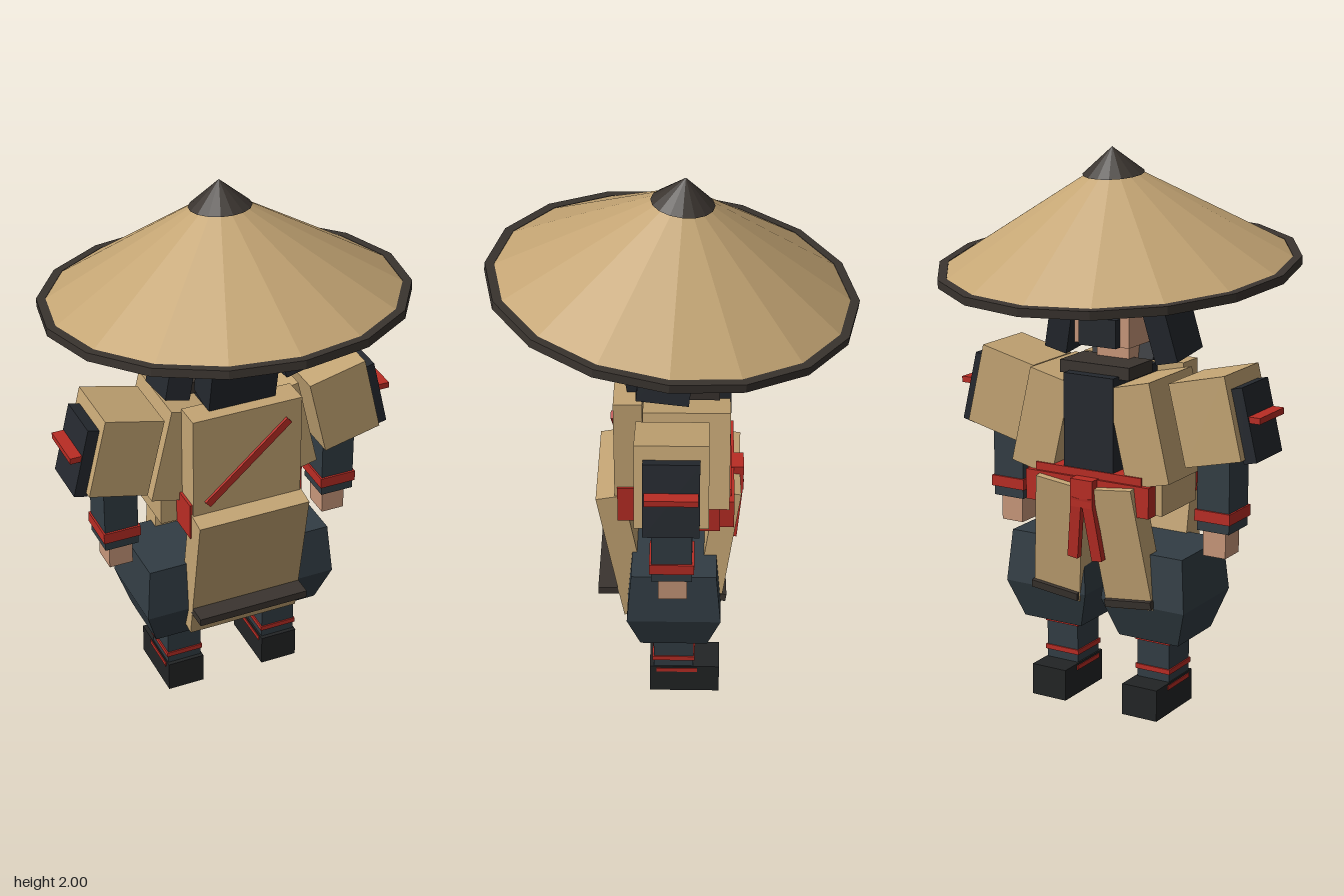
import * as THREE from 'three';

const mat = (color) => new THREE.MeshStandardMaterial({ color, flatShading: true, side: THREE.DoubleSide });
const TAN = mat(0xc4a574), DARK = mat(0x24282e), NAVY = mat(0x323d44), RED = mat(0xb92c24),
  SKIN = mat(0xc8977a), BROWN = mat(0x3a342f), BLACK = mat(0x222425);

export function createModel() {
  const model = new THREE.Group();
  model.name = 'strawHatWanderer';

  const add = (name, geo, material, pos = [0, 0, 0], rot = [0, 0, 0], parent = model) => {
    const mesh = new THREE.Mesh(geo, material);
    mesh.name = name;
    mesh.position.set(...pos);
    mesh.rotation.set(...rot);
    parent.add(mesh);
    return mesh;
  };
  const box = (name, material, size, pos, rot, parent) =>
    add(name, new THREE.BoxGeometry(...size), material, pos, rot, parent);
  const lathe = (points, sides, start = 0) =>
    new THREE.LatheGeometry(points.map(([r, y]) => new THREE.Vector2(r, y)), sides, start);

  // Tilted straw hat with dark rim and cap
  const hat = new THREE.Group();
  hat.name = 'hat';
  hat.position.y = 1.592;
  hat.rotation.x = -0.107;
  model.add(hat);
  add('hatCone', lathe([[0.61, 0.01], [0, 0.375]], 16), TAN, [0, 0, 0], [0, 0, 0], hat);
  add('hatRim', lathe([[0.605, -0.015], [0.637, -0.015], [0.637, 0.015], [0.605, 0.015], [0.605, -0.015]], 16),
    BROWN, [0, 0, 0], [0, 0, 0], hat);
  add('hatCap', new THREE.ConeGeometry(0.108, 0.092, 16), BROWN, [0, 0.364, 0], [0, 0, 0], hat);

  // Head, mask and hair
  box('head', SKIN, [0.22, 0.29, 0.2], [0, 1.465, -0.015]);
  box('neck', SKIN, [0.13, 0.16, 0.12], [0, 1.27, 0.02]);
  box('mask', DARK, [0.15, 0.1, 0.07], [0, 1.37, -0.11]);
  box('longHair', DARK, [0.25, 0.34, 0.13], [0, 1.41, 0.12], [0.19, 0, 0]);

  // Torso and robe
  box('backPanel', TAN, [0.41, 0.39, 0.1], [0, 1.045, 0.15]);
  box('chest', DARK, [0.2, 0.38, 0.31], [0, 1.04, -0.05]);
  box('collar', BROWN, [0.28, 0.045, 0.16], [0, 1.242, -0.085]);
  box('backSash', RED, [0.41, 0.028, 0.02], [0, 1.03, 0.2], [0, 0, 0.72]);
  box('backSkirt', TAN, [0.42, 0.53, 0.1], [0, 0.59, 0.17], [0.18, 0, 0]);
  box('backSkirtTrim', BROWN, [0.42, 0.028, 0.13], [0, 0.432, 0.2]);

  // Belt with knot and tails
  box('belt', RED, [0.43, 0.14, 0.4], [0, 0.825, -0.01]);
  box('beltFront', RED, [0.5, 0.11, 0.09], [0, 0.812, -0.175]);
  box('beltKnot', RED, [0.09, 0.1, 0.07], [0, 0.82, -0.22]);
  box('hipWrapLeft', RED, [0.07, 0.11, 0.24], [0.24, 0.813, -0.05]);
  box('hipWrapRight', TAN, [0.07, 0.11, 0.24], [-0.24, 0.813, -0.05]);

  // Baggy square trouser profile
  const trouser = [[0, 0.61], [0.15, 0.61], [0.167, 0.42], [0.12, 0.28], [0, 0.28]]
    .map(([r, y]) => [r * Math.SQRT2, y]);

  // Mirrored parts, s = +1 on the model's left
  for (const s of [1, -1]) {
    const side = new THREE.Group();
    side.name = s > 0 ? 'leftSide' : 'rightSide';
    model.add(side);
    const part = (name, material, size, [x, y, z], [rx, ry, rz] = [0, 0, 0]) =>
      box(name, material, size, [s * x, y, z], [rx, s * ry, s * rz], side);

    part('sideHair', DARK, [0.09, 0.28, 0.18], [0.195, 1.415, 0.015], [-0.12, 0, 0.23]);
    part('robeFlap', TAN, [0.17, 0.355, 0.3], [0.197, 1.04, -0.052], [0, 0, 0.23]);
    part('frontSkirt', TAN, [0.19, 0.45, 0.09], [0.125, 0.63, -0.165], [-0.15, 0, 0.12]);
    part('frontSkirtTrim', BROWN, [0.19, 0.028, 0.1], [0.152, 0.43, -0.145], [-0.15, 0, 0.12]);
    part('beltTail', RED, [0.042, 0.23, 0.025], [0.035, 0.69, -0.232], [-0.1, 0, 0.13]);

    // Arm
    part('sleeve', TAN, [0.22, 0.295, 0.25], [0.416, 1.102, -0.005], [0, 0, 0.235]);
    part('shoulderPad', DARK, [0.05, 0.26, 0.19], [0.547, 1.1, -0.005], [0, 0, 0.235]);
    part('padCord', RED, [0.06, 0.022, 0.18], [0.578, 1.123, -0.005]);
    part('forearm', NAVY, [0.125, 0.3, 0.14], [0.423, 0.85, -0.005]);
    part('wristBand', RED, [0.138, 0.04, 0.155], [0.423, 0.755, -0.005]);
    part('hand', SKIN, [0.088, 0.1, 0.1], [0.42, 0.655, -0.008]);

    // Leg
    add('trouserLeg', lathe(trouser, 4, Math.PI / 4), NAVY, [s * 0.2, 0, -0.01], [0, 0, 0], side);
    part('shin', NAVY, [0.13, 0.2, 0.145], [0.191, 0.2, -0.008]);
    for (const y of [0.265, 0.155]) part('shinCord', RED, [0.14, 0.018, 0.155], [0.191, y, -0.008]);
    part('shoe', BLACK, [0.14, 0.116, 0.255], [0.19, 0.058, -0.048]);
    part('shoeCord', RED, [0.146, 0.016, 0.15], [0.19, 0.1, -0.02]);
  }
  return model;
}
